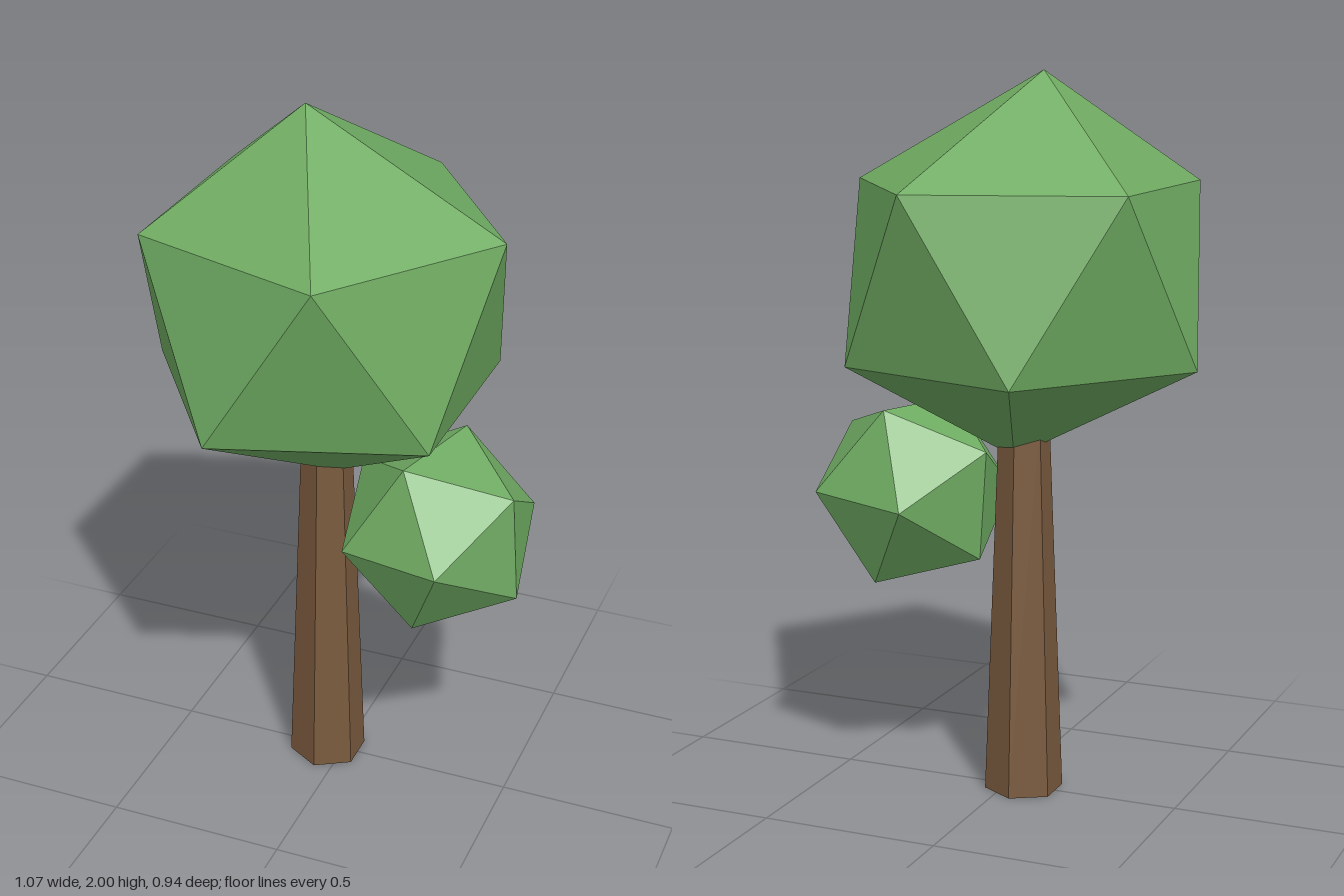
import * as THREE from 'three';

const leaf = new THREE.MeshStandardMaterial({ color: 0x6fab62 });
leaf.name = 'leaf green';
const bark = new THREE.MeshStandardMaterial({ color: 0x7a5a3e });
bark.name = 'bark brown';

const TRUNK_X = -0.05;

// Twenty-sided crown: two five-point rings with slightly offset tips
function crownGeometry() {
  const r = 0.493;
  const ring = (y, turn) => Array.from({ length: 5 }, (_, i) => {
    const a = (i + turn) * Math.PI * 2 / 5;
    return [TRUNK_X + r * Math.cos(a), y, r * Math.sin(a)];
  });
  const top = [-0.105, 2, 0], bottom = [-0.02, 0.95, 0];
  const upper = ring(1.7, 0), lower = ring(1.22, 0.5);
  const points = [];
  for (let i = 0; i < 5; i++) {
    const j = (i + 1) % 5;
    points.push(top, upper[j], upper[i]);
    points.push(upper[i], upper[j], lower[i]);
    points.push(upper[j], lower[j], lower[i]);
    points.push(bottom, lower[i], lower[j]);
  }
  const geometry = new THREE.BufferGeometry();
  geometry.setAttribute('position', new THREE.Float32BufferAttribute(points.flat(), 3));
  geometry.computeVertexNormals();
  return geometry;
}

export function createModel() {
  const tree = new THREE.Group();
  tree.name = 'tree';
  const add = (name, geometry, material) => {
    const mesh = new THREE.Mesh(geometry, material);
    mesh.name = name;
    tree.add(mesh);
    return mesh;
  };

  // Tapered six-sided trunk, running up into the crown
  const height = 1.06;
  const trunkGeometry = new THREE.CylinderGeometry(0.07, 0.11, height, 6).toNonIndexed();
  trunkGeometry.computeVertexNormals();
  add('trunk', trunkGeometry, bark).position.set(TRUNK_X, height / 2, 0);

  add('crown', crownGeometry(), leaf);

  // Small side clump, tilted by aligning one of its edges
  const clump = add('sideClump', new THREE.IcosahedronGeometry(0.289, 0), leaf);
  const edge = new THREE.Vector3(-0.02, 0.302, 0).normalize();
  const outward = new THREE.Vector3(0.237, 0.014, 0.063);
  outward.addScaledVector(edge, -outward.dot(edge)).normalize();
  const side = new THREE.Vector3().crossVectors(edge, outward);
  clump.quaternion.setFromRotationMatrix(new THREE.Matrix4().makeBasis(edge, outward, side));
  clump.position.set(0.283, 0.833, 0);

  return tree;
}
